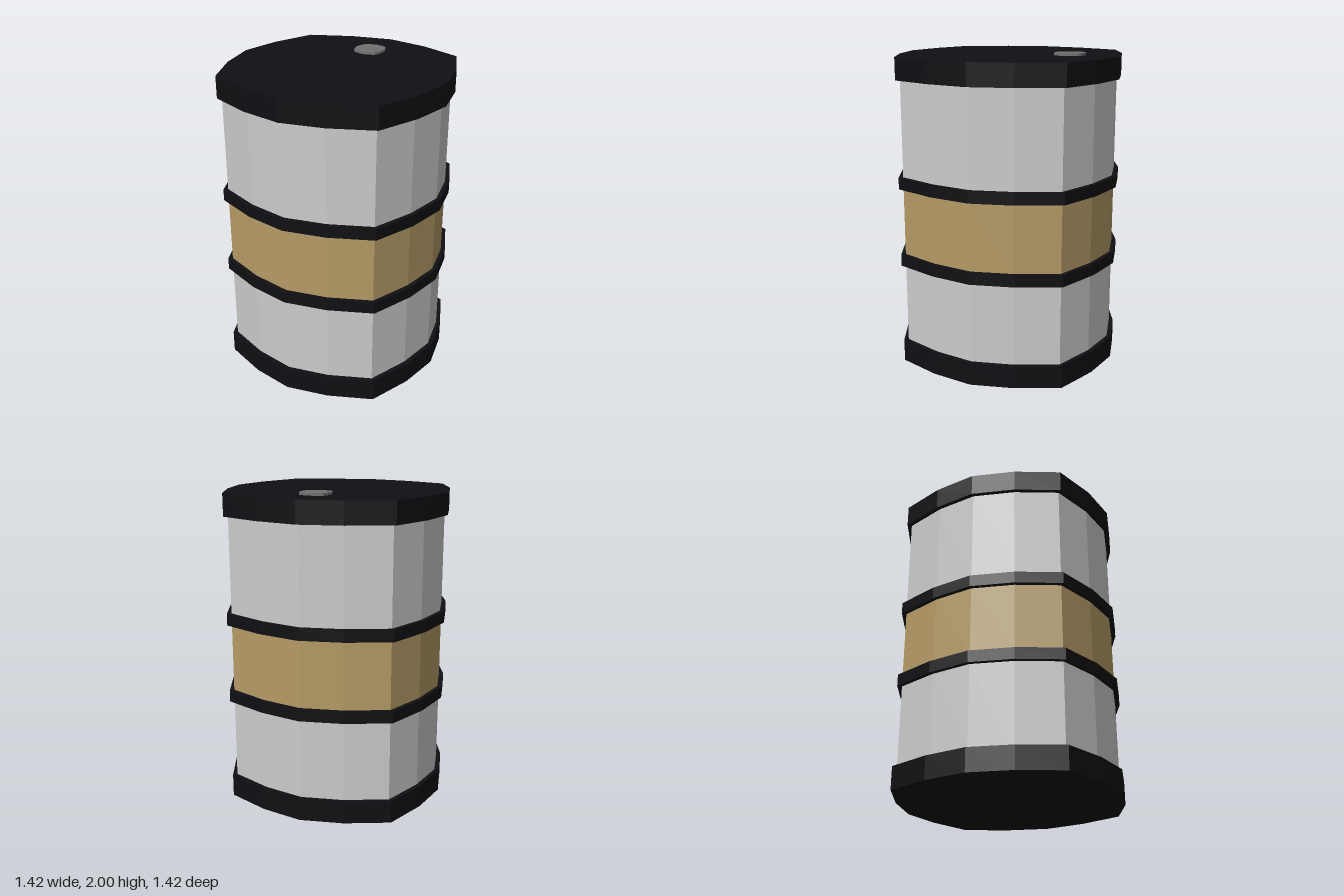
import * as THREE from 'three';

// Squarish sixteen-sided outline: the diagonal corners stick out a little
function outline(radius) {
  const points = [];
  for (let i = 0; i < 16; i++) {
    const a = (i * Math.PI) / 8;
    const r = radius * (i % 4 === 2 ? 1.085 : 1);
    points.push(new THREE.Vector2(r * Math.cos(a), r * Math.sin(a)));
  }
  return new THREE.Shape(points);
}

export function createModel() {
  const group = new THREE.Group();
  group.name = 'barrel';
  const material = (color) => new THREE.MeshStandardMaterial({ color, flatShading: true });
  const black = material(0x101014);
  const grey = material(0xcccccc);
  const tan = material(0xb59b66);
  const plugGrey = material(0x707070);

  // Upright prism between two heights
  function slab(name, radius, y0, y1, mat, z = 0) {
    const geometry = new THREE.ExtrudeGeometry(outline(radius), { depth: y1 - y0, bevelEnabled: false });
    geometry.rotateX(-Math.PI / 2);
    const mesh = new THREE.Mesh(geometry, mat);
    mesh.name = name;
    mesh.position.set(0, y0, z);
    group.add(mesh);
  }

  // Wall sections
  const wall = 0.682;
  slab('lowerWall', wall, 0.145, 0.66, grey);
  slab('middleWall', wall, 0.735, 1.165, tan);
  slab('upperWall', wall, 1.24, 1.845, grey);

  // Rims and hoops
  const rim = 0.71;
  slab('bottomRim', rim, 0, 0.145, black);
  slab('lowerHoop', rim, 0.66, 0.735, black);
  slab('upperHoop', rim, 1.165, 1.24, black);
  slab('lid', rim, 1.845, 1.985, black);

  // Filler plug near the back of the lid
  slab('plug', 0.099, 1.985, 2, plugGrey, -0.393);

  return group;
}
